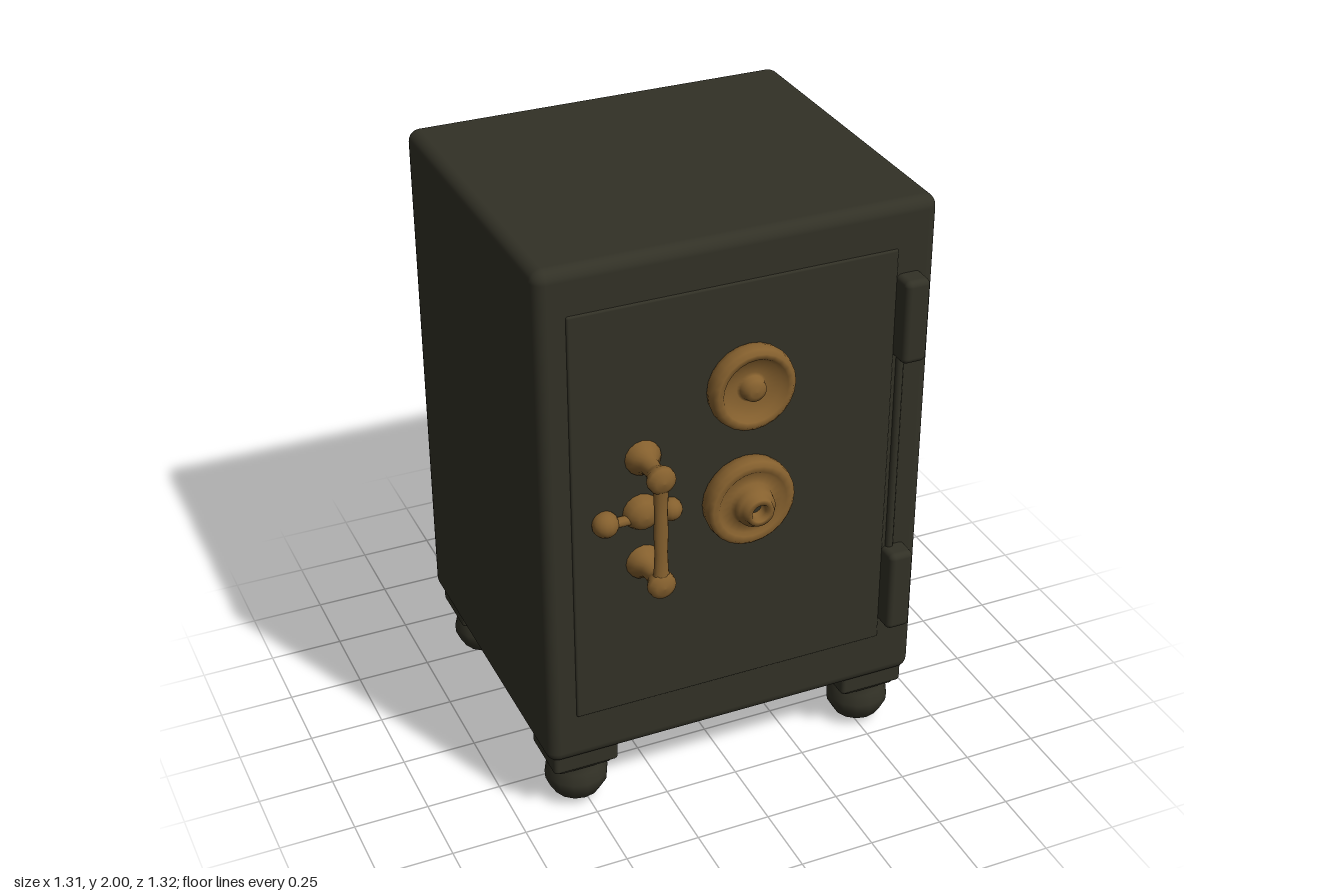
import * as THREE from 'three';
import { RoundedBoxGeometry } from 'three/addons/geometries/RoundedBoxGeometry.js';

const FRONT = 0.492; // z of the front face

export function createModel() {
  const iron = new THREE.MeshStandardMaterial({ color: 0x323126 });
  iron.name = 'dark iron';
  const brass = new THREE.MeshStandardMaterial({ color: 0x85602e });
  brass.name = 'aged brass';

  const model = new THREE.Group();
  model.name = 'safe';

  const add = (name, geometry, material, x, y, z, parent = model) => {
    const mesh = new THREE.Mesh(geometry, material);
    mesh.name = name;
    mesh.position.set(x, y, z);
    parent.add(mesh);
    return mesh;
  };
  const box = (w, h, d, r) => new RoundedBoxGeometry(w, h, d, 3, r);
  // Turned part standing along +y, from [radius, height] pairs
  const turned = (pairs, sides = 24) =>
    new THREE.LatheGeometry(pairs.map(([r, h]) => new THREE.Vector2(r, h)), sides);
  // Turned part standing out from the front face
  const turnedFront = (pairs, sides) => turned(pairs, sides).rotateX(Math.PI / 2);

  // Cabinet
  add('cabinet', box(1.31, 1.765, 1.142, 0.04), iron, 0, 1.1175, -0.079);

  // Door panel, barely proud of the front
  add('door', box(1.08, 1.44, 0.02, 0.008), iron, -0.02, 1.13, FRONT - 0.004);

  // Hinges with the thin rod between them
  for (const [name, y, h] of [['upperHinge', 1.62, 0.285], ['lowerHinge', 0.622, 0.295]]) {
    add(name, box(0.085, h, 0.1, 0.02), iron, 0.56, y, 0.512);
  }
  add('hingeRod', new THREE.CylinderGeometry(0.014, 0.014, 0.75, 10), iron, 0.545, 1.12, FRONT);

  // Feet: square mount, short neck and ball
  const footProfile = [[0, 0.005], [0.045, 0.01], [0.08, 0.035], [0.103, 0.075],
    [0.105, 0.105], [0.092, 0.14], [0.08, 0.165], [0.08, 0.2]];
  for (const x of [-0.521, 0.521]) {
    for (const z of [0.37, -0.52]) {
      const foot = new THREE.Group();
      foot.name = 'foot';
      foot.position.set(x, 0, z);
      model.add(foot);
      add('footMount', box(0.225, 0.08, 0.205, 0.015), iron, 0, 0.215, 0, foot);
      add('footCollar', box(0.19, 0.05, 0.18, 0.015), iron, 0, 0.185, 0, foot);
      add('footBall', turned(footProfile, 14), iron, 0, 0, 0, foot);
    }
  }

  // Upper dial: dished disc with a small centre knob
  add('upperDial', turnedFront([[0.125, -0.01], [0.139, 0.01], [0.143, 0.03], [0.138, 0.055],
    [0.125, 0.067], [0.108, 0.065], [0.095, 0.045], [0.05, 0.032], [0.042, 0.04],
    [0.036, 0.062], [0.02, 0.07], [0, 0.072]]), brass, 0.02, 1.503, FRONT);

  // Lower dial: wide disc with a hollow hub
  add('lowerDial', turnedFront([[0.13, -0.01], [0.146, 0.01], [0.15, 0.035], [0.147, 0.06],
    [0.135, 0.072], [0.115, 0.07], [0.105, 0.06], [0.072, 0.06], [0.066, 0.08], [0.062, 0.1],
    [0.05, 0.102], [0.046, 0.125], [0.03, 0.127], [0.024, 0.11], [0.022, 0.08], [0, 0.08]]),
    brass, 0.015, 1.105, FRONT);
  add('keyhole', new THREE.CircleGeometry(0.021, 16), iron, 0.015, 1.105, FRONT + 0.083);

  // Pull handle: two flared posts with rounded ends joined by a bar
  const handle = new THREE.Group();
  handle.name = 'handle';
  handle.position.set(-0.327, 1.138, FRONT);
  model.add(handle);
  for (const side of [-1, 1]) {
    add('handlePost', turnedFront([[0.06, -0.01], [0.058, 0.015], [0.042, 0.035], [0.03, 0.06],
      [0.028, 0.1], [0.036, 0.12], [0.046, 0.14], [0.044, 0.157], [0.026, 0.17], [0, 0.174]], 16),
      brass, 0, side * 0.188, 0, handle);
  }
  add('handleBar', turned([[0.034, -0.188], [0.024, -0.14], [0.021, -0.07], [0.024, 0],
    [0.021, 0.07], [0.024, 0.14], [0.034, 0.188]], 14), brass, 0, 0, 0.143, handle)
    .scale.z = 0.75;

  // Cross lever behind the handle: hub, arm and end knobs
  const lever = new THREE.Group();
  lever.name = 'lever';
  lever.position.set(-0.335, 1.125, FRONT);
  model.add(lever);
  add('leverHub', turnedFront([[0.06, -0.01], [0.06, 0.015], [0.048, 0.04], [0.025, 0.055],
    [0, 0.058]], 16), brass, 0, 0.012, 0, lever);
  add('leverArm', new THREE.CylinderGeometry(0.017, 0.017, 0.21, 10).rotateZ(Math.PI / 2),
    brass, -0.015, 0, 0.022, lever);
  for (const [x, r] of [[-0.121, 0.043], [0.095, 0.038]]) {
    add('leverKnob', new THREE.SphereGeometry(r, 14, 10), brass, x, 0, 0.016, lever);
  }

  return model;
}
